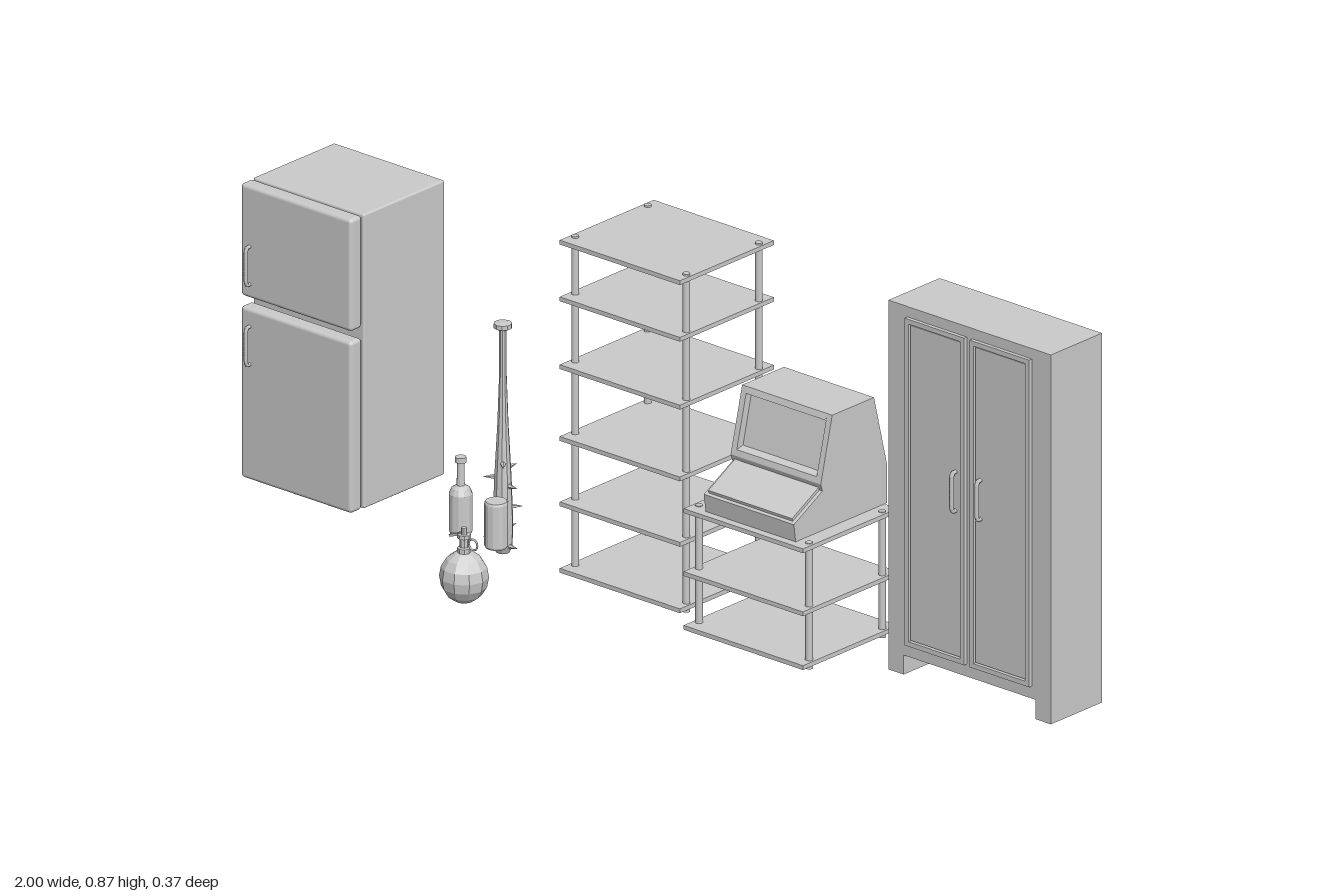
import * as THREE from 'three';
import { RoundedBoxGeometry } from 'three/addons/geometries/RoundedBoxGeometry.js';

const smooth = new THREE.MeshStandardMaterial({ color: 0xcccccc, side: THREE.DoubleSide });
const flat = new THREE.MeshStandardMaterial({ color: 0xcccccc, side: THREE.DoubleSide, flatShading: true });

function add(parent, name, geometry, x = 0, y = 0, z = 0, material = flat) {
  const mesh = new THREE.Mesh(geometry, material);
  mesh.name = name;
  mesh.position.set(x, y, z);
  parent.add(mesh);
  return mesh;
}

function group(parent, name, x = 0, y = 0, z = 0) {
  const g = new THREE.Group();
  g.name = name;
  g.position.set(x, y, z);
  parent.add(g);
  return g;
}

// Box given by its lower and upper limits
function box(parent, name, [x0, x1], [y0, y1], [z0, z1], radius = 0) {
  const size = [x1 - x0, y1 - y0, z1 - z0];
  const geo = radius ? new RoundedBoxGeometry(...size, 2, radius) : new THREE.BoxGeometry(...size);
  return add(parent, name, geo, (x0 + x1) / 2, (y0 + y1) / 2, (z0 + z1) / 2, radius ? smooth : flat);
}

function lathe(parent, name, points, sides) {
  return add(parent, name, new THREE.LatheGeometry(points.map(p => new THREE.Vector2(...p)), sides));
}

// Upright bow handle standing off a door face
function handle(parent, x, y0, y1, z, depth, radius) {
  const pts = [[y0, 0], [y0, depth * 0.75], [y0 + depth * 0.6, depth], [y1 - depth * 0.6, depth], [y1, depth * 0.75], [y1, 0]];
  const path = new THREE.CurvePath();
  const v = pts.map(([y, d]) => new THREE.Vector3(x, y, z + d));
  for (let i = 1; i < v.length; i++) path.add(new THREE.LineCurve3(v[i - 1], v[i]));
  add(parent, 'doorHandle', new THREE.TubeGeometry(path, 40, radius, 6), 0, 0, 0, smooth);
}

// Side profile of [z, y] points, extruded across x
function profile(parent, name, pts, x0, x1) {
  const shape = new THREE.Shape(pts.map(([z, y]) => new THREE.Vector2(-z, y)));
  const geo = new THREE.ExtrudeGeometry(shape, { depth: x1 - x0, bevelEnabled: false });
  geo.rotateY(Math.PI / 2);
  return add(parent, name, geo, x0, 0, 0);
}

// Flat rectangular frame facing +z
function frame(parent, name, w, h, border, depth, x, y, z) {
  const rect = (T, a, b) => new T([[-a, -b], [a, -b], [a, b], [-a, b]].map(p => new THREE.Vector2(...p)));
  const shape = rect(THREE.Shape, w / 2, h / 2);
  shape.holes.push(rect(THREE.Path, w / 2 - border, h / 2 - border));
  return add(parent, name, new THREE.ExtrudeGeometry(shape, { depth, bevelEnabled: false }), x, y, z);
}

function shelfUnit(parent, name, xs, zs, postX, postZ, levels, top) {
  const g = group(parent, name);
  for (const y of levels) box(g, 'shelfBoard', xs, [y - 0.0045, y + 0.0045], zs);
  for (const x of postX) for (const z of postZ)
    add(g, 'shelfPost', new THREE.CylinderGeometry(0.0075, 0.0075, top - 0.09, 10), x, (top + 0.09) / 2, z, smooth);
}

function refrigerator(parent) {
  const g = group(parent, 'refrigerator');
  box(g, 'cabinet', [-1, -0.717], [0.093, 0.7], [-0.147, 0.086], 0.004);
  for (const [y0, y1, h0, h1] of [[0.468, 0.7, 0.497, 0.575], [0.093, 0.447, 0.332, 0.41]]) {
    box(g, 'doorSeal', [-0.992, -0.725], [y0 + 0.008, y1 - 0.008], [0.085, 0.092]);
    box(g, 'door', [-1, -0.717], [y0, y1], [0.09, 0.123], 0.008);
    handle(g, -0.976, h0, h1, 0.121, 0.013, 0.004);
  }
}

function wardrobe(parent) {
  const g = group(parent, 'wardrobe');
  const z = [-0.103, 0.044];
  box(g, 'body', [0.585, 1], [0.145, 0.867], z);
  box(g, 'rightFoot', [0.585, 0.624], [0.105, 0.145], z);
  box(g, 'leftFoot', [0.961, 1], [0.105, 0.145], z);
  for (const s of [-1, 1]) {
    const x = 0.7925 + s * 0.083;
    frame(g, 'doorFrame', 0.152, 0.675, 0.01, 0.009, x, 0.508, 0.043);
    box(g, 'doorPanel', [x - 0.064, x + 0.064], [0.183, 0.833], [0.043, 0.049]);
    handle(g, 0.7925 + s * 0.032, 0.482, 0.562, 0.048, 0.012, 0.0045);
  }
}

function terminal(parent) {
  const g = group(parent, 'computerTerminal');
  const back = [[-0.098, 0.578], [-0.135, 0.43], [-0.135, 0.349]];
  const outer = [[0.127, 0.349], [0.132, 0.386], [0.05, 0.43], [0.055, 0.445], [0.022, 0.578], ...back];
  const inner = [[0.127, 0.349], [0.132, 0.386], [0.05, 0.43], [0.055, 0.445], [0.052, 0.457],
    [0.034, 0.461], [0.01, 0.56], [0.026, 0.565], [0.022, 0.578], ...back];
  // Side cheeks frame a recessed screen
  profile(g, 'rightCheek', outer, 0.192, 0.205);
  profile(g, 'screenBody', inner, 0.205, 0.409);
  profile(g, 'leftCheek', outer, 0.409, 0.422);
  // Sloping keyboard slab
  profile(g, 'keyboard', [[0.126, 0.387], [0.128, 0.395], [0.045, 0.44], [0.043, 0.431]], 0.2, 0.414);
}

function spikedBat(parent) {
  const g = group(parent, 'spikedBat', -0.467, 0, -0.032);
  lathe(g, 'bat', [[0, 0.035], [0.013, 0.037], [0.019, 0.05], [0.02, 0.1], [0.017, 0.19], [0.011, 0.3],
    [0.0075, 0.4], [0.0075, 0.495], [0.018, 0.5], [0.018, 0.509], [0, 0.511]], 10);
  const up = new THREE.Vector3(0, 1, 0);
  for (let i = 0; i < 12; i++) {
    const a = i * 2.36;
    const dir = new THREE.Vector3(Math.cos(a), 0, Math.sin(a));
    const y = 0.053 + i * 0.0155;
    const spike = add(g, 'spike', new THREE.ConeGeometry(0.0055, 0.024, 5), dir.x * 0.027, y, dir.z * 0.027);
    spike.quaternion.setFromUnitVectors(up, dir);
  }
}

function smallItems(parent) {
  // Bottle with a long neck
  const bottle = group(parent, 'bottle', -0.5, 0, 0.052);
  lathe(bottle, 'bottleBody', [[0, 0.094], [0.021, 0.094], [0.023, 0.1], [0.023, 0.175], [0.018, 0.186],
    [0.008, 0.192], [0.007, 0.238], [0.011, 0.239], [0.011, 0.25], [0, 0.25]], 12);

  // Plain can
  const can = group(parent, 'can', -0.404, 0, 0.058);
  lathe(can, 'canBody', [[0, 0.092], [0.021, 0.092], [0.023, 0.096], [0.023, 0.182], [0.021, 0.187], [0, 0.187]], 14);

  // Round grenade with fuse, lever and pull ring
  const grenade = group(parent, 'grenade', -0.415, 0, 0.138);
  add(grenade, 'grenadeBody', new THREE.SphereGeometry(0.048, 10, 8).scale(1, 1.1, 1), 0, 0.0528, 0);
  lathe(grenade, 'fuse', [[0.013, 0.1], [0.013, 0.112], [0.009, 0.114], [0.009, 0.132], [0.013, 0.132],
    [0.013, 0.14], [0.006, 0.14], [0.006, 0.154], [0, 0.154]], 8);
  const lever = box(grenade, 'lever', [-0.034, -0.006], [0.132, 0.137], [-0.006, 0.006]);
  lever.rotation.z = 0.35;
  add(grenade, 'pullRing', new THREE.TorusGeometry(0.011, 0.002, 6, 14), 0.023, 0.124, 0, smooth);
}

export function createModel() {
  const model = new THREE.Group();
  model.name = 'furnitureAndGearSet';
  refrigerator(model);
  spikedBat(model);
  smallItems(model);
  shelfUnit(model, 'tallShelf', [-0.217, 0.09], [-0.184, 0.086], [-0.205, 0.079], [-0.153, 0.055],
    [0.103, 0.24, 0.375, 0.523, 0.663, 0.78], 0.788);
  shelfUnit(model, 'lowShelf', [0.15, 0.455], [-0.129, 0.143], [0.162, 0.443], [-0.098, 0.112],
    [0.103, 0.214, 0.344], 0.35);
  terminal(model);
  wardrobe(model);
  return model;
}
